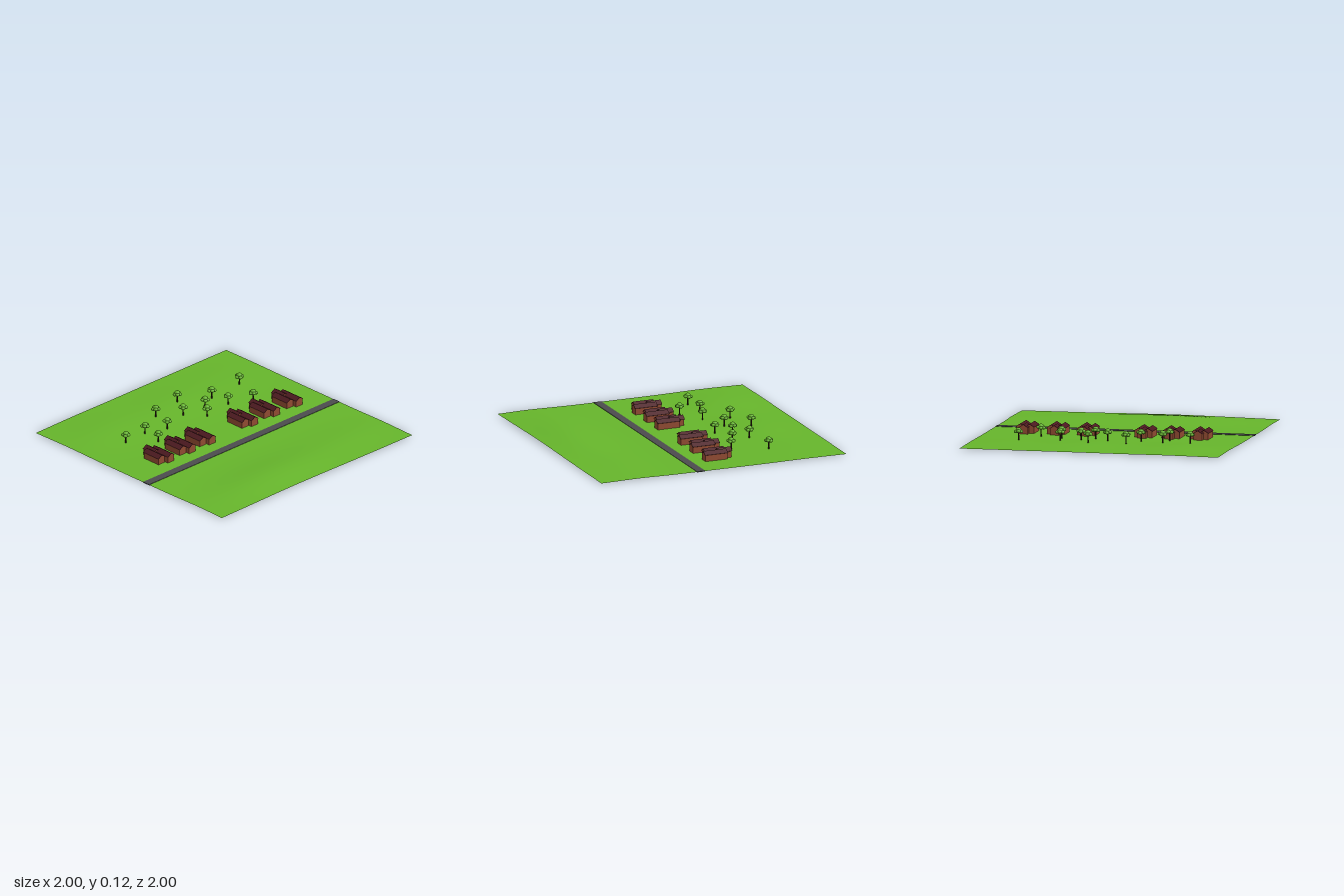
import * as THREE from 'three';

const GROUND = 0.004;
const mat = (color, opts = {}) => new THREE.MeshStandardMaterial({ color, ...opts });
const grass = mat(0x66b52b, { side: THREE.DoubleSide });
const asphalt = mat(0x4b4b4d);
const brick = mat(0x8f4a31);
const tile = mat(0x4c1a20, { side: THREE.DoubleSide });
const bark = mat(0x2e1c10);
const leaf = mat(0x62b02a);

// Gentle hills: x, z, height, spread in x, spread in z
const hills = [
  [-0.2, 0.75, 0.034, 0.42, 0.16],
  [0.65, 0.68, 0.01, 0.25, 0.14],
  [-0.6, -0.66, 0.021, 0.24, 0.19],
  [0.1, -0.64, 0.019, 0.26, 0.18],
  [0.7, -0.68, 0.007, 0.2, 0.17],
];
function heightAt(x, z) {
  let y = GROUND;
  for (const [hx, hz, h, sx, sz] of hills) {
    y += h * Math.exp(-(((x - hx) / sx) ** 2 + ((z - hz) / sz) ** 2) / 2);
  }
  return y;
}

function add(parent, name, geometry, material, x = 0, y = 0, z = 0) {
  const mesh = new THREE.Mesh(geometry, material);
  mesh.name = name;
  mesh.position.set(x, y, z);
  parent.add(mesh);
  return mesh;
}

function makeTerrain() {
  const geo = new THREE.PlaneGeometry(2, 2, 80, 80).rotateX(-Math.PI / 2);
  const p = geo.attributes.position;
  for (let i = 0; i < p.count; i++) p.setY(i, heightAt(p.getX(i), p.getZ(i)));
  geo.computeVertexNormals();
  return geo;
}

// Extrude a front outline backwards from z = front to z = back
function extrudeZ(points, back, front) {
  const shape = new THREE.Shape(points.map(([x, y]) => new THREE.Vector2(x, y)));
  const geo = new THREE.ExtrudeGeometry(shape, { depth: front - back, bevelEnabled: false });
  return geo.translate(0, 0, back);
}

// One wing: gabled brick walls under a pitched roof with its ridge along z
function addWing(house, x, width, back, front, ridge) {
  const w = width / 2, eave = 0.055;
  add(house, 'walls', extrudeZ(
    [[-w + 0.004, 0], [w - 0.004, 0], [w - 0.004, eave], [0, ridge - 0.004], [-w + 0.004, eave]],
    back + 0.004, front - 0.004), brick, x);
  add(house, 'roof', extrudeZ(
    [[-w, eave - 0.001], [-w + 0.003, eave - 0.003], [0, ridge - 0.006],
      [w - 0.003, eave - 0.003], [w, eave - 0.001], [0, ridge]],
    back, front), tile, x);
}

function makeHouse() {
  const house = new THREE.Group();
  addWing(house, -0.036, 0.074, -0.135, 0.03, 0.077);
  addWing(house, 0.002, 0.076, -0.178, -0.065, 0.079);
  addWing(house, 0.036, 0.074, -0.128, 0.058, 0.078);
  return house;
}

function makeTree(turn) {
  const tree = new THREE.Group();
  add(tree, 'trunk', new THREE.CylinderGeometry(0.004, 0.006, 0.075, 8), bark, 0, 0.0335, 0);
  // Crown: a ring of low clumps around a higher one
  const clump = (r, x, y, z) =>
    add(tree, 'foliage', new THREE.SphereGeometry(r, 14, 10), leaf, x, y, z).scale.set(1, 0.8, 1);
  for (let i = 0; i < 5; i++) {
    const a = (i / 5) * Math.PI * 2;
    clump(0.016, Math.cos(a) * 0.02, 0.066 + (i % 2) * 0.004, Math.sin(a) * 0.02);
  }
  clump(0.022, 0, 0.078, 0);
  tree.rotation.y = turn;
  return tree;
}

export function createModel() {
  const model = new THREE.Group();
  model.name = 'countryside';

  add(model, 'terrain', makeTerrain(), grass);
  add(model, 'road', new THREE.BoxGeometry(2, 0.006, 0.065), asphalt, 0, 0.004, 0.186);

  // Row of houses along the road
  for (const x of [-0.645, -0.422, -0.211, 0.233, 0.465, 0.703]) {
    const house = makeHouse();
    house.name = 'house';
    house.position.x = x;
    model.add(house);
  }

  // Scattered trees behind the houses
  const spots = [
    [-0.64, -0.4], [-0.43, -0.41], [-0.445, -0.25], [-0.25, -0.355], [-0.18, -0.55],
    [-0.01, -0.43], [0.1, -0.605], [0.115, -0.3], [0.2, -0.41], [0.345, -0.485],
    [0.37, -0.335], [0.55, -0.25], [0.66, -0.51],
  ];
  spots.forEach(([x, z], i) => {
    const tree = makeTree(i * 1.3);
    tree.name = 'tree';
    tree.position.set(x, heightAt(x, z), z);
    model.add(tree);
  });
  return model;
}
